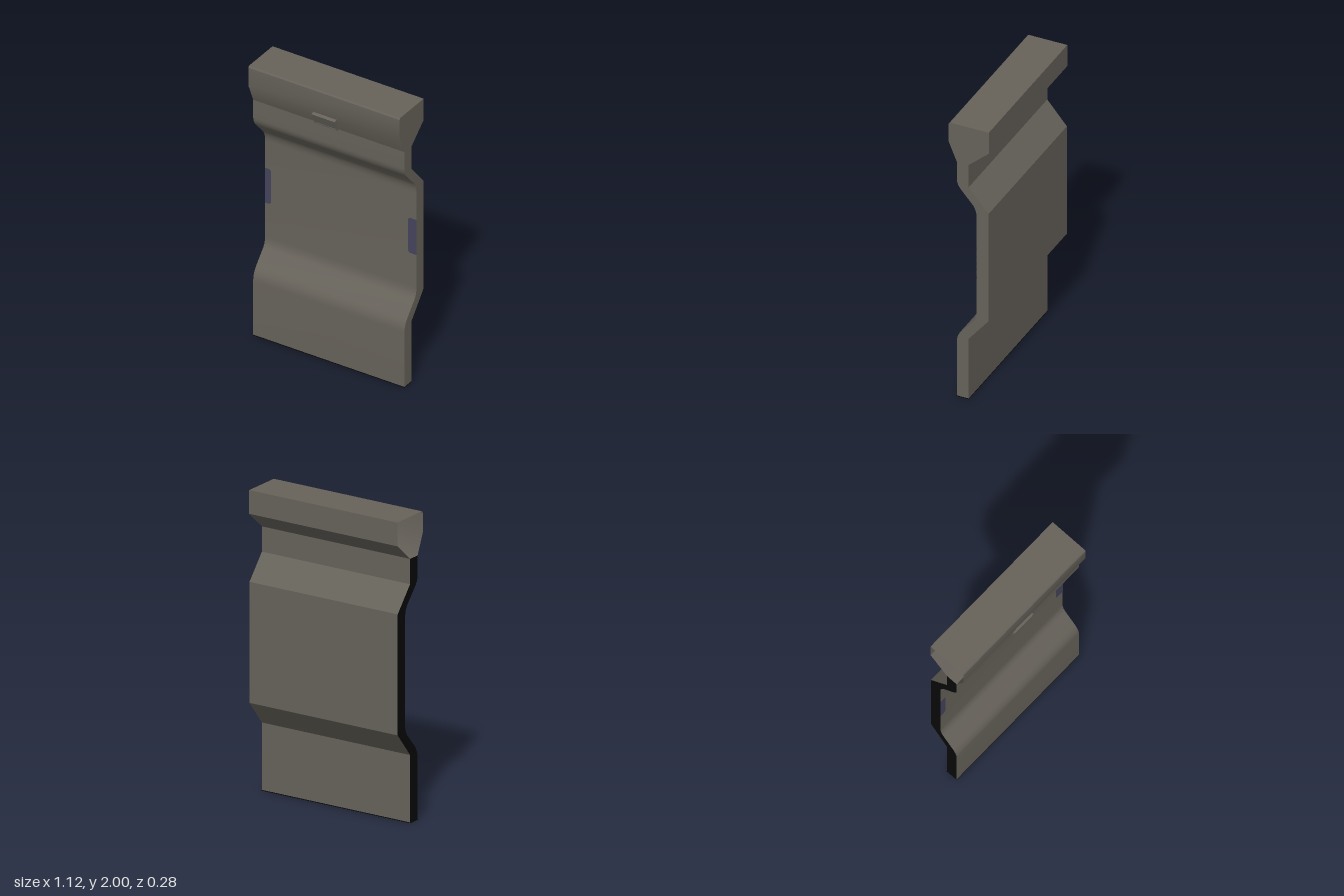
import * as THREE from 'three';
import { toCreasedNormals } from 'three/addons/utils/BufferGeometryUtils.js';

const WIDTH = 1.115;

function material(name, color, side = THREE.FrontSide) {
  const m = new THREE.MeshStandardMaterial({ color, side });
  m.name = name;
  return m;
}

function addMesh(parent, name, geometry, mat) {
  const mesh = new THREE.Mesh(geometry, mat);
  mesh.name = name;
  parent.add(mesh);
  return mesh;
}

// Sweeps a (z, y) side profile across the full width, centred on x = 0.
function sweepProfile(shape) {
  const g = new THREE.ExtrudeGeometry(shape, { depth: WIDTH, bevelEnabled: false, curveSegments: 5 });
  g.translate(0, 0, -WIDTH / 2);
  g.rotateY(-Math.PI / 2);
  return toCreasedNormals(g, 0.4);
}

export function createModel() {
  const model = new THREE.Group();
  model.name = 'wallPanel';
  const grey = material('warmGrey', 0x66625a, THREE.DoubleSide);
  const black = material('black', 0x080808);
  const blue = material('dustyBlue', 0x45435c);

  // Folded sheet: rounded bends in front, sharp bends behind
  const sheet = new THREE.Shape();
  sheet.moveTo(0, 0);
  sheet.lineTo(0.082, 0);
  sheet.lineTo(0.082, 0.4);
  sheet.quadraticCurveTo(0.082, 0.45, 0.05, 0.49);
  sheet.lineTo(-0.03, 0.58);
  sheet.quadraticCurveTo(-0.055, 0.61, -0.055, 0.66);
  sheet.lineTo(-0.055, 1.35);
  sheet.quadraticCurveTo(-0.055, 1.4, -0.03, 1.435);
  sheet.lineTo(0.05, 1.525);
  sheet.quadraticCurveTo(0.082, 1.56, 0.082, 1.6);
  sheet.lineTo(0.082, 1.725);
  sheet.lineTo(0, 1.725);
  sheet.lineTo(0, 1.56);
  sheet.lineTo(-0.135, 1.4);
  sheet.lineTo(-0.135, 0.61);
  sheet.lineTo(0, 0.445);
  sheet.closePath();
  const sheetGeo = sweepProfile(sheet);
  const [caps, walls] = sheetGeo.groups.map((g) => ({ ...g }));
  sheetGeo.clearGroups();
  sheetGeo.addGroup(caps.start, caps.count / 2, 0);
  sheetGeo.addGroup(caps.start + caps.count / 2, caps.count / 2, 1);
  sheetGeo.addGroup(walls.start, walls.count, 0);
  addMesh(model, 'foldedSheet', sheetGeo, [grey, black]);

  // Dark underside of the sheet
  const foot = addMesh(model, 'bottomEdge', new THREE.BoxGeometry(WIDTH + 0.002, 0.005, 0.084), black);
  foot.position.set(0, 0.0025, 0.041);

  // Thick head, hollow and open at the -x end
  const head = new THREE.Shape([
    [0.082, 1.725], [0.138, 1.86], [0.138, 1.99], [0.13, 2],
    [-0.138, 2], [-0.138, 1.845], [0, 1.725],
  ].map(([z, y]) => new THREE.Vector2(z, y)));
  const headGeo = sweepProfile(head);
  const [headCaps, headWalls] = headGeo.groups.map((g) => ({ ...g }));
  headGeo.clearGroups();
  headGeo.addGroup(headCaps.start, headCaps.count / 2, 0);
  headGeo.addGroup(headWalls.start, headWalls.count, 0);
  addMesh(model, 'topHead', headGeo, [grey]);

  // Small framed plate on the sloping front of the head
  const badge = new THREE.Group();
  badge.name = 'framedPlate';
  badge.position.set(-0.004, 1.775, 0.112);
  badge.rotation.x = 0.41;
  model.add(badge);
  const rect = (Type, w, h) => new Type([[-1, -1], [1, -1], [1, 1], [-1, 1]]
    .map(([x, y]) => new THREE.Vector2(x * w / 2, y * h / 2)));
  const rim = rect(THREE.Shape, 0.172, 0.088);
  rim.holes.push(rect(THREE.Path, 0.158, 0.074));
  const rimGeo = new THREE.ExtrudeGeometry(rim, { depth: 0.024, bevelEnabled: false });
  rimGeo.translate(0, 0, -0.012);
  addMesh(badge, 'plateFrame', rimGeo, grey);
  addMesh(badge, 'plateFace', new THREE.BoxGeometry(0.16, 0.076, 0.018), grey);

  // Blue edge patches with rounded inner corners
  for (const [side, w] of [[-1, 0.044], [1, 0.062]]) {
    const edge = side * WIDTH / 2;
    const inner = edge - side * w;
    const r = 0.022 * side;
    const patch = new THREE.Shape();
    patch.moveTo(edge, 0.9);
    patch.lineTo(edge, 1.155);
    patch.lineTo(inner + r, 1.155);
    patch.quadraticCurveTo(inner, 1.155, inner, 1.13);
    patch.lineTo(inner, 0.925);
    patch.quadraticCurveTo(inner, 0.9, inner + r, 0.9);
    const g = new THREE.ExtrudeGeometry(patch, { depth: 0.003, bevelEnabled: false, curveSegments: 4 });
    g.translate(0, 0, -0.056);
    addMesh(model, side > 0 ? 'leftEdgePatch' : 'rightEdgePatch', g, blue);
  }
  return model;
}
